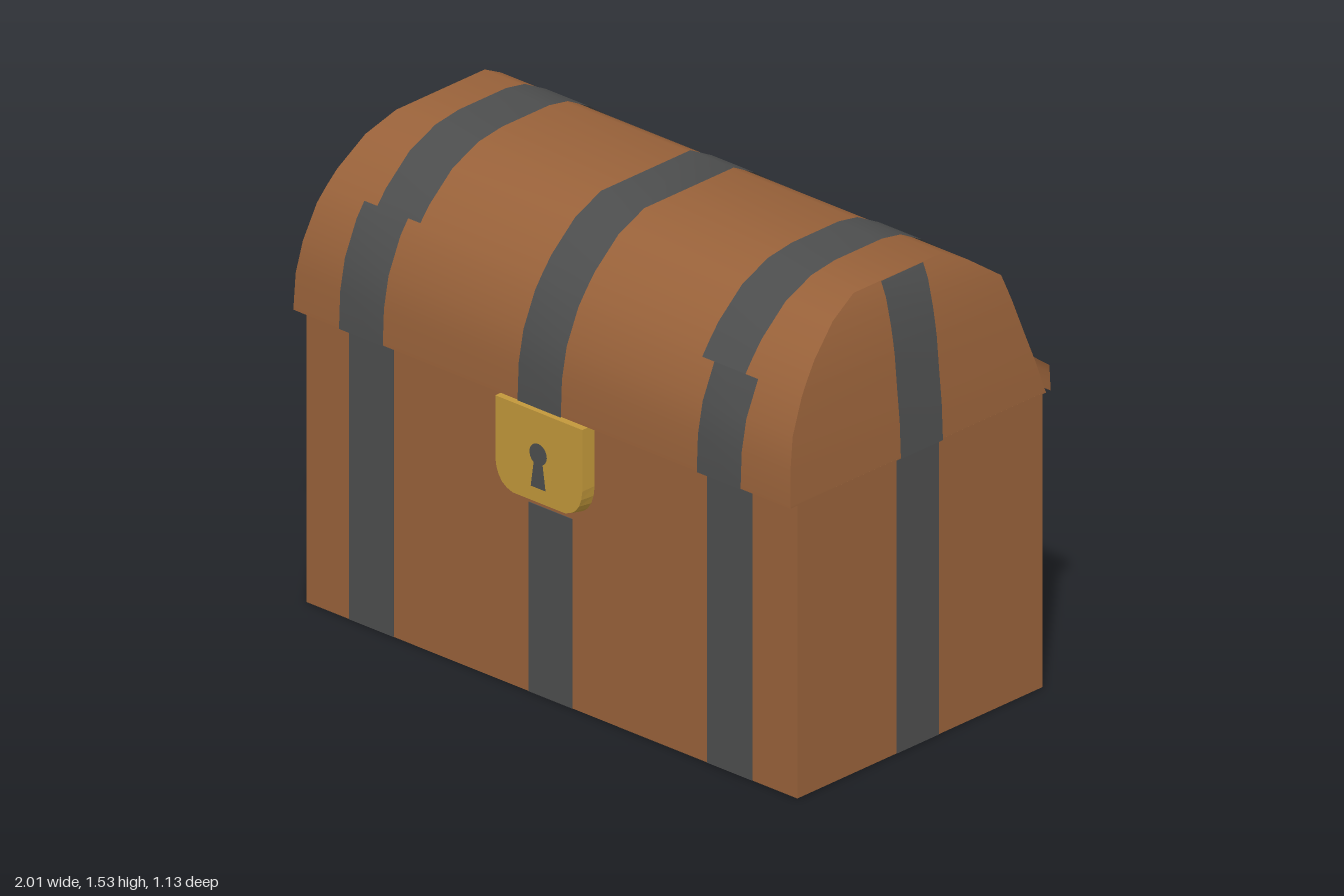
import * as THREE from 'three';
import { toCreasedNormals } from 'three/addons/utils/BufferGeometryUtils.js';

// Lid cross-section, level by level from rim to crown
const Y = [0.96, 1.08, 1.18, 1.29, 1.335, 1.38, 1.465, 1.512];
const HALF = [1, 0.995, 0.985, 0.975, 0.968, 0.96, 0.94, 0.92];
const FRONT = [0.555, 0.55, 0.53, 0.48, 0.447, 0.41, 0.31, 0.2];
const BACK = [-0.56, -0.55, -0.525, -0.46, -0.425, -0.39, -0.27, -0.18];
const BACK_CUT = [-0.54, -0.497, -0.461, -0.422, -0.406, -0.39, -0.27, -0.18];

// Surface between two matching rows of points
function ribbon(a, b) {
  const g = new THREE.BufferGeometry();
  const index = [];
  const n = a.length;
  for (let i = 0; i < n - 1; i++) index.push(i, n + i, i + 1, i + 1, n + i, n + i + 1);
  g.setAttribute('position', new THREE.Float32BufferAttribute([...a, ...b].flat(), 3));
  g.setIndex(index);
  return toCreasedNormals(g, 0.5);
}

export function createModel() {
  const group = new THREE.Group();
  const material = (name, color, side = THREE.FrontSide) => {
    const m = new THREE.MeshStandardMaterial({ color, side });
    m.name = name;
    return m;
  };
  const wood = material('brown wood', 0x99623a, THREE.DoubleSide);
  const iron = material('dark iron', 0x4d4e4e, THREE.DoubleSide);
  const brass = material('brass', 0xc2983b);

  const add = (name, geometry, mat) => {
    const mesh = new THREE.Mesh(geometry, mat);
    mesh.name = name;
    group.add(mesh);
    return mesh;
  };
  const box = (name, mat, x0, x1, y0, y1, z0, z1) =>
    add(name, new THREE.BoxGeometry(x1 - x0, y1 - y0, z1 - z0), mat)
      .position.set((x0 + x1) / 2, (y0 + y1) / 2, (z0 + z1) / 2);

  // Body
  box('body', wood, -0.99, 0.985, 0, 0.958, -0.54, 0.51);

  // Barrel lid, running from the front rim over the crown to the back rim
  const frontRow = (s) => Y.map((y, i) => [s * HALF[i], y, FRONT[i]]);
  const backRow = (s) => Y.map((y, i) => [s * HALF[i], y, (s > 0 ? BACK_CUT : BACK)[i]]);
  const arch = (s) => [...frontRow(s), ...backRow(s).reverse()];
  add('lid', ribbon(arch(-1), arch(1)), wood);
  add('lidEndLeft', ribbon(frontRow(1), backRow(1)), wood);
  add('lidEndRight', ribbon(backRow(-1), frontRow(-1)), wood);
  box('lidUnderside', wood, -1, 1, 0.96, 0.964, -0.54, 0.553);

  // Loose back flap, tall at one end and narrow at the other
  const tall = [3, 2, 1, 0].map((i) => [-HALF[i], Y[i], BACK[i] - 0.003]);
  const narrow = [1.045, 1.02, 0.99, 0.96].map((y, i) => [1, y, -0.554 - i * 0.002]);
  add('backFlap', ribbon(tall, narrow), wood);

  // Iron bands over the lid, lying just above the wood
  const lift = ([z, y]) => [z * 1.008, 0.96 + (y - 0.96) * 1.008];
  const band = (name, x0, x1, points) => {
    const row = (x) => points.map(lift).map(([z, y]) => [x, y, z]);
    add(name, ribbon(row(x0), row(x1)), iron);
  };
  const frontPoints = Y.map((y, i) => [FRONT[i], y]);
  const backPoints = [7, 6, 5].map((i) => [BACK[i], Y[i]]);
  const hump = [[0.1, 1.526], [-0.1, 1.526]];
  band('lidBandRight', -0.76, -0.587, [...frontPoints.slice(4), ...hump, ...backPoints]);
  band('lidBandRightLower', -0.812, -0.636, frontPoints.slice(0, 5));
  band('lidBandMiddle', -0.094, 0.08, [...frontPoints, ...backPoints]);
  band('lidBandLeft', 0.578, 0.752, [...frontPoints.slice(3), ...hump, ...backPoints]);
  band('lidBandLeftLower', 0.627, 0.803, frontPoints.slice(0, 4));

  // Iron bands on the body front
  box('bodyBandRight', iron, -0.815, -0.638, 0.001, 0.957, 0.508, 0.513);
  box('bodyBandMiddle', iron, -0.094, 0.08, 0.001, 0.615, 0.508, 0.513);
  box('bodyBandLeft', iron, 0.625, 0.805, 0.001, 0.957, 0.508, 0.513);

  // Iron bands up both ends
  for (const s of [-1, 1]) {
    const edge = s > 0 ? 0.985 : -0.99;
    box('endBand', iron, edge - 0.003, edge + 0.003, 0.001, 0.957, -0.095, 0.085);
    const row = (z) => Y.map((y, i) => [s * (HALF[i] + 0.003), y, z]);
    const [a, b] = s > 0 ? [row(0.085), row(-0.095)] : [row(-0.095), row(0.085)];
    add('lidEndBand', ribbon(a, b), iron);
  }

  // Brass lock plate with rounded lower corners
  const plate = new THREE.Shape();
  plate.moveTo(-0.18, 0.95);
  plate.lineTo(-0.18, 0.75);
  plate.quadraticCurveTo(-0.175, 0.66, -0.11, 0.645);
  plate.lineTo(0.1, 0.645);
  plate.quadraticCurveTo(0.165, 0.66, 0.17, 0.75);
  plate.lineTo(0.17, 0.95);
  const lock = new THREE.ExtrudeGeometry(plate, { depth: 0.055, bevelEnabled: false, curveSegments: 5 });
  // Slope the lower edge back toward the body
  const p = lock.attributes.position;
  for (let i = 0; i < p.count; i++) {
    if (p.getZ(i) > 0.05 && p.getY(i) < 0.75) p.setY(i, p.getY(i) + (0.75 - p.getY(i)) * 0.12);
  }
  lock.computeVertexNormals();
  add('lock', lock, brass).position.z = 0.508;

  // Keyhole
  const hole = new THREE.Shape();
  hole.moveTo(-0.035, 0.705);
  hole.lineTo(0.025, 0.705);
  hole.lineTo(0.013, 0.785);
  hole.absarc(-0.005, 0.815, 0.035, -1.03, Math.PI + 1.03, false);
  hole.closePath();
  add('keyhole', new THREE.ShapeGeometry(hole, 8), iron).position.z = 0.566;

  return group;
}
